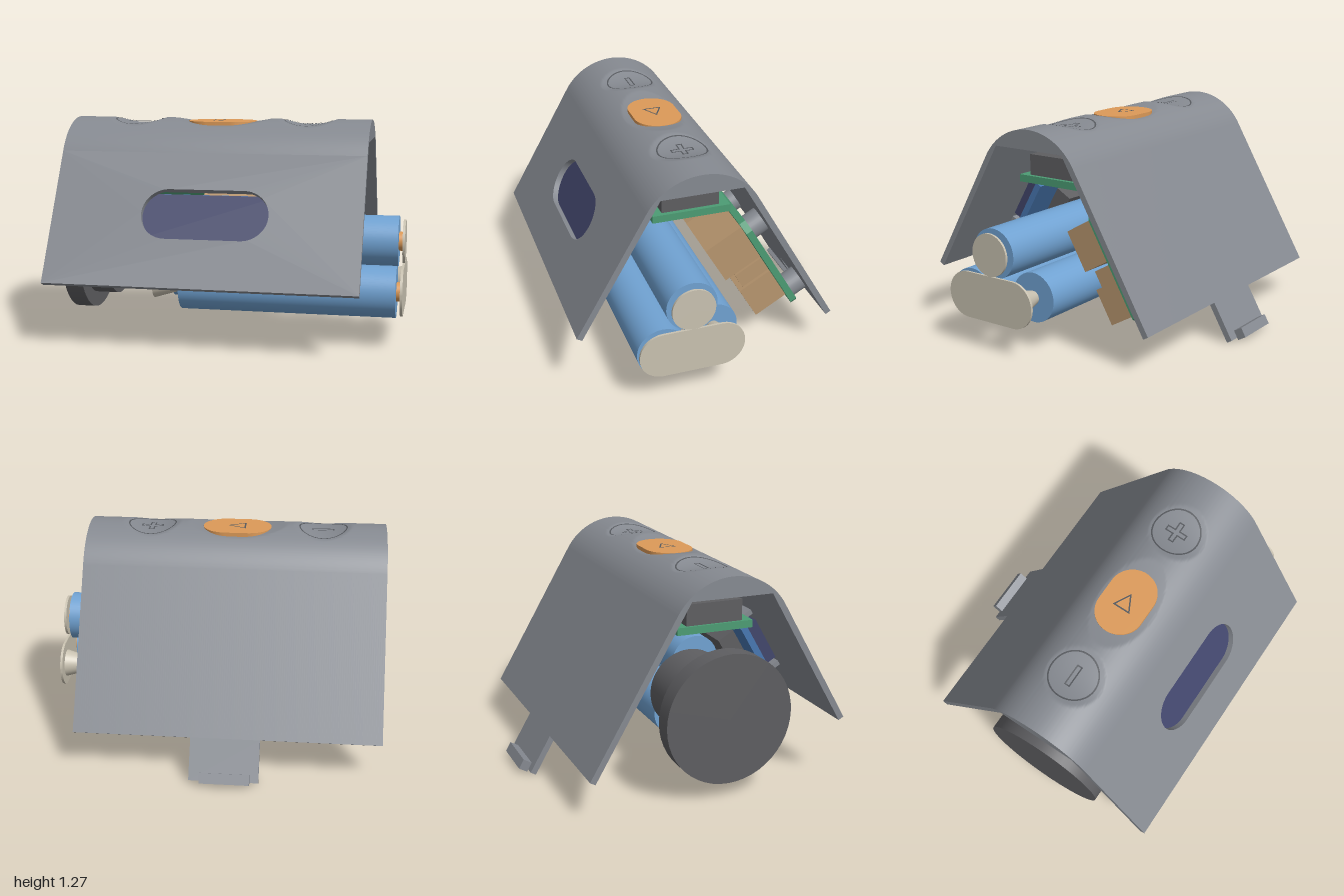
import * as THREE from 'three';
import { toCreasedNormals } from 'three/addons/utils/BufferGeometryUtils.js';

const material = (name, color, side = THREE.FrontSide) => {
  const m = new THREE.MeshStandardMaterial({ color, side });
  m.name = name;
  return m;
};

// Cross-section of the housing: a crown of radius R with two legs at 60 degrees
const R = 0.365, CY = 0.915, CZ = 0.13, WALL = 0.035, X0 = -0.995, X1 = 0.785, MID = -0.105;
const DISHES = [[-0.62, 0.17, 0.17], [MID, 0.3, 0.17], [0.41, 0.17, 0.17]];

// Height of the dished crown surface
function crownY(x, z) {
  let y = CY + Math.sqrt(Math.max(0, R * R - (z - CZ) ** 2));
  for (const [cx, rx, rz] of DISHES) {
    const d = ((x - cx) / rx) ** 2 + ((z - CZ) / rz) ** 2;
    if (d < 1) y -= 0.033 * (1 - d);
  }
  return y;
}

// Stadium outline centred on (cx, cy), long side along x
function stadium(cx, cy, halfW, r, Kind = THREE.Shape) {
  const s = new Kind();
  s.absarc(cx + halfW - r, cy, r, -Math.PI / 2, Math.PI / 2, false);
  s.absarc(cx - halfW + r, cy, r, Math.PI / 2, Math.PI * 1.5, false);
  s.closePath();
  return s;
}

function polygon(points, Kind = THREE.Shape) {
  return new Kind(points.map(([x, y]) => new THREE.Vector2(x, y)));
}

const extrude = (shape, depth, options = {}) =>
  new THREE.ExtrudeGeometry(shape, { depth, bevelEnabled: false, curveSegments: 24, ...options });

export function createModel() {
  const mat = {
    shell: material('shell grey', 0x868a91),
    dark: material('dark grey', 0x5e5e61),
    groove: material('groove grey', 0x55585d, THREE.DoubleSide),
    orange: material('orange', 0xdc9a58),
    navy: material('display navy', 0x42466c),
    blue: material('cell blue', 0x70a2d2),
    boardBlue: material('board blue', 0x4878b2),
    green: material('board green', 0x4c9c74),
    brown: material('component tan', 0xb8966f),
    beige: material('contact beige', 0xc9c2b1, THREE.DoubleSide),
  };
  const model = new THREE.Group();
  model.name = 'openDevice';

  const add = (parent, name, geometry, m, x = 0, y = 0, z = 0) => {
    const mesh = new THREE.Mesh(geometry, m);
    mesh.name = name;
    mesh.position.set(x, y, z);
    parent.add(mesh);
    return mesh;
  };
  // Box given by its limits on each axis
  const box = (parent, name, m, [xa, xb], [ya, yb], [za, zb]) =>
    add(parent, name, new THREE.BoxGeometry(xb - xa, yb - ya, zb - za), m,
      (xa + xb) / 2, (ya + yb) / 2, (za + zb) / 2);
  // Cylinder or cone along x, from xa (radius ra) to xb (radius rb)
  const rod = (name, m, xa, xb, y, z, ra, rb = ra, open = false) =>
    add(model, name, new THREE.CylinderGeometry(rb, ra, xb - xa, 48, 1, open).rotateZ(-Math.PI / 2),
      m, (xa + xb) / 2, y, z);

  // Frames lying in the two legs: local y runs up the leg, local z points outwards
  const frame = (name, turn) => {
    const g = new THREE.Group();
    g.name = name;
    g.position.set(0, CY, CZ);
    g.rotation.set(-Math.PI / 6, turn, 0, 'YXZ');
    model.add(g);
    return g;
  };
  const front = frame('frontLeg', 0);
  const back = frame('backLeg', Math.PI);

  // Crown and back panel in one section, swept along x, with button dishes pressed in
  const c30 = Math.cos(Math.PI / 6), inner = R - WALL, L = 0.987, flat = 0.25;
  const flatHalf = (inner - flat * 0.5) / c30;
  const section = new THREE.Shape();
  section.absarc(0, 0, R, Math.PI * 5 / 6, Math.PI / 6, true);
  section.lineTo(R * c30 + L * 0.5, R * 0.5 - L * c30);
  section.lineTo(inner * c30 + L * 0.5, inner * 0.5 - L * c30);
  section.lineTo(flatHalf, flat);
  section.lineTo(-flatHalf, flat);
  section.lineTo(-inner * c30, inner * 0.5);
  section.closePath();
  const crown = extrude(section, X1 - X0, { steps: 140, curveSegments: 48 });
  crown.rotateY(Math.PI / 2).translate(X0, CY, CZ);
  const p = crown.attributes.position;
  for (let i = 0; i < p.count; i++) {
    const y = p.getY(i), z = p.getZ(i);
    if (Math.abs(Math.hypot(y - CY, z - CZ) - R) < 0.002 && y > CY) p.setY(i, crownY(p.getX(i), z));
  }
  add(model, 'crownAndBackPanel', toCreasedNormals(crown, 0.5), mat.shell);

  // Front panel with window
  const panel = polygon([[X0, -0.815], [X1, -0.815], [X1, 0], [X0, 0]]);
  panel.holes.push(stadium(MID, -0.378, 0.365, 0.15, THREE.Path));
  add(front, 'frontPanel', toCreasedNormals(extrude(panel, WALL), 0.5), mat.shell, 0, 0, inner);

  // Display behind the window
  box(front, 'displayLens', mat.navy, [-0.5, 0.29], [-0.53, -0.245], [0.245, 0.328]);
  box(front, 'displayBoard', mat.boardBlue, [-0.56, 0.35], [-0.555, -0.21], [0.205, 0.245]);
  box(front, 'displayConnector', mat.dark, [-0.4, 0.15], [-0.5, -0.27], [0.095, 0.205]);
  for (const y of [-0.185, -0.575])
    box(front, 'displayRib', mat.shell, [-0.5, 0.29], [y - 0.015, y + 0.015], [0.25, inner]);

  // Latch on the back panel
  box(back, 'latchTab', mat.shell, [-0.1, 0.3], [-1.23, -L], [inner, R]);
  box(back, 'latchHook', mat.shell, [-0.035, 0.25], [-1.245, -1.185], [R, 0.42]);
  box(back, 'latchRib', mat.shell, [-0.035, 0.25], [-1.2, -1.16], [0.305, inner]);

  // Main circuit board, standoffs and components
  const board = polygon([[-0.6, -0.92], [0.55, -0.92], [0.6, -0.87], [0.6, -0.27], [0.55, -0.22],
    [-0.6, -0.22], [-0.65, -0.27], [-0.65, -0.87]]);
  add(back, 'mainBoard', extrude(board, 0.04), mat.green, 0, 0, 0.205);
  for (const x of [-0.55, 0.5]) for (const y of [-0.31, -0.83])
    add(back, 'standoff', new THREE.CylinderGeometry(0.075, 0.075, 0.085, 32).rotateX(Math.PI / 2),
      mat.shell, x, y, 0.2875);
  for (const x of [-0.5, -0.26, 0.02, 0.3]) {
    box(back, 'lowerComponent', mat.brown, [x - 0.08, x + 0.08], [-0.86, -0.64], [-0.01, 0.205]);
    box(back, 'middleComponent', mat.brown, [x - 0.06, x + 0.06], [-0.64, -0.54], [0.02, 0.205]);
  }
  for (const x of [-0.4, 0.12])
    box(back, 'upperComponent', mat.brown, [x - 0.17, x + 0.17], [-0.52, -0.265], [-0.04, 0.205]);

  // Button board under the crown with three switches
  box(model, 'buttonBoard', mat.green, [-0.8, 0.6], [0.925, 0.968], [-0.1, 0.355]);
  for (const [x] of DISHES) {
    box(model, 'switchBody', mat.dark, [x - 0.165, x + 0.165], [0.968, 1.09], [-0.04, 0.295]);
    add(model, 'switchStem', new THREE.CylinderGeometry(0.1, 0.1, 0.045, 32), mat.shell, x, 1.11, CZ);
    add(model, 'switchCap', new THREE.CylinderGeometry(0.165, 0.165, 0.03, 32), mat.dark, x, 1.15, CZ);
  }
  box(model, 'boardConnector', mat.beige, [-0.2, 0], [0.875, 0.925], [0.06, 0.2]);

  // Play button
  const onTop = (g, x, y) => g.rotateX(-Math.PI / 2).translate(x, y, CZ - 0.01);
  add(model, 'playButton', toCreasedNormals(onTop(extrude(stadium(0, 0, 0.205, 0.14), 0.06), MID, 1.204), 0.5),
    mat.orange);
  const triangle = polygon([[-0.052, -0.056], [0.056, 0], [-0.052, 0.056]]);
  triangle.holes.push(polygon([[-0.043, -0.042], [0.038, 0], [-0.043, 0.042]], THREE.Path));
  add(model, 'playSymbol', onTop(new THREE.ShapeGeometry(triangle), MID, 1.267), mat.groove);

  // Ring and symbol grooves, draped over the dishes
  const drape = (name, g, x) => {
    onTop(g, x, 0);
    const q = g.attributes.position;
    for (let i = 0; i < q.count; i++) q.setY(i, crownY(q.getX(i), q.getZ(i)) + 0.004);
    g.computeVertexNormals();
    add(model, name, g, mat.groove);
  };
  const cross = (w, t) => [[-w, -t], [-t, -t], [-t, -w], [t, -w], [t, -t], [w, -t],
    [w, t], [t, t], [t, w], [-t, w], [-t, t], [-w, t]];
  const bar = (w, t) => [[-w, -t], [w, -t], [w, t], [-w, t]];
  for (const [x, outline, name] of [[-0.62, bar, 'minus'], [0.41, cross, 'plus']]) {
    drape(name + 'Ring', new THREE.RingGeometry(0.136, 0.145, 64, 1), x);
    const symbol = polygon(outline(0.066, 0.018));
    symbol.holes.push(polygon(outline(0.058, 0.01), THREE.Path));
    drape(name + 'Symbol', new THREE.ShapeGeometry(symbol), x);
  }

  // Speaker at the right-hand end
  rod('speakerRim', mat.dark, -1, -0.89, 0.48, CZ, 0.375);
  rod('speakerBasket', mat.dark, -0.89, -0.75, 0.48, CZ, 0.285);
  rod('speakerMagnet', mat.dark, -0.75, -0.45, 0.48, CZ, 0.24);

  // Three cells; the rear one is reversed
  for (const [y, z, reversed] of [[0.59, 0.25, false], [0.328, 0.418, false], [0.328, 0.08, true]]) {
    if (reversed) {
      rod('cell', mat.blue, -0.41, 0.825, y, z, 0.147);
      rod('cellTerminal', mat.orange, -0.445, -0.41, y, z, 0.055);
      rod('contactSpring', mat.beige, 0.825, 0.98, y, z, 0.04, 0.085, true);
    } else {
      rod('cell', mat.blue, -0.28, 0.96, y, z, 0.147);
      rod('cellTerminal', mat.orange, 0.96, 0.985, y, z, 0.055);
      rod('contactSpring', mat.beige, -0.45, -0.28, y, z, 0.09, 0.04, true);
    }
  }

  // Contact plates
  rod('singleContact', mat.beige, 0.984, 0.998, 0.59, 0.25, 0.125);
  const bridge = extrude(stadium(0, 0, 0.305, 0.137), 0.014).rotateY(Math.PI / 2);
  add(model, 'bridgeContact', toCreasedNormals(bridge, 0.5), mat.beige, 0.984, 0.328, 0.255);

  return model;
}
